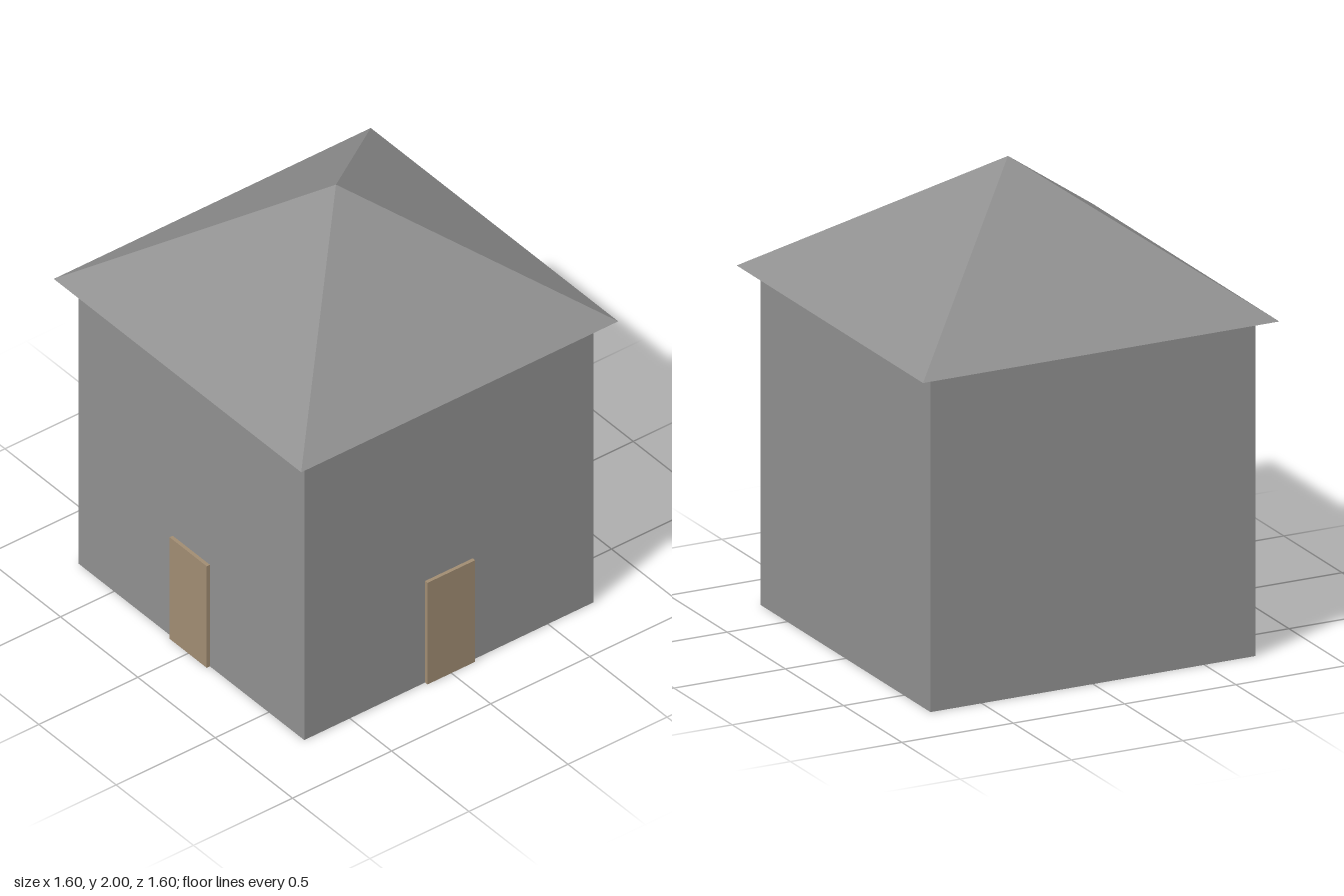
import * as THREE from 'three';

export function createModel() {
  const model = new THREE.Group();
  const stone = new THREE.MeshStandardMaterial({ name: 'stone grey', color: 0x909090 });
  const wood = new THREE.MeshStandardMaterial({ name: 'door brown', color: 0xa08c72 });

  const add = (name, geometry, material) => {
    const mesh = new THREE.Mesh(geometry, material);
    mesh.name = name;
    model.add(mesh);
    return mesh;
  };

  const half = 0.73, wallHeight = 1.42, eave = 0.8, top = 2;

  // Square house body
  add('walls', new THREE.BoxGeometry(half * 2, wallHeight, half * 2), stone).position.y = wallHeight / 2;

  // Pyramid roof with overhanging eaves and flat-faced slopes
  const roofGeometry = new THREE.ConeGeometry(eave * Math.SQRT2, top - wallHeight, 4)
    .rotateY(Math.PI / 4).toNonIndexed();
  roofGeometry.computeVertexNormals();
  add('roof', roofGeometry, stone).position.y = (top + wallHeight) / 2;

  // Matching doors on the front and the -x side, standing proud of the wall
  const doorWidth = 0.24, doorHeight = 0.51, proud = 0.016, sunk = 0.01;
  for (const [name, angle] of [['frontDoor', 0], ['sideDoor', -Math.PI / 2]]) {
    const geometry = new THREE.BoxGeometry(doorWidth, doorHeight, proud + sunk)
      .translate(0, doorHeight / 2, half + (proud - sunk) / 2);
    add(name, geometry, wood).rotation.y = angle;
  }

  return model;
}
